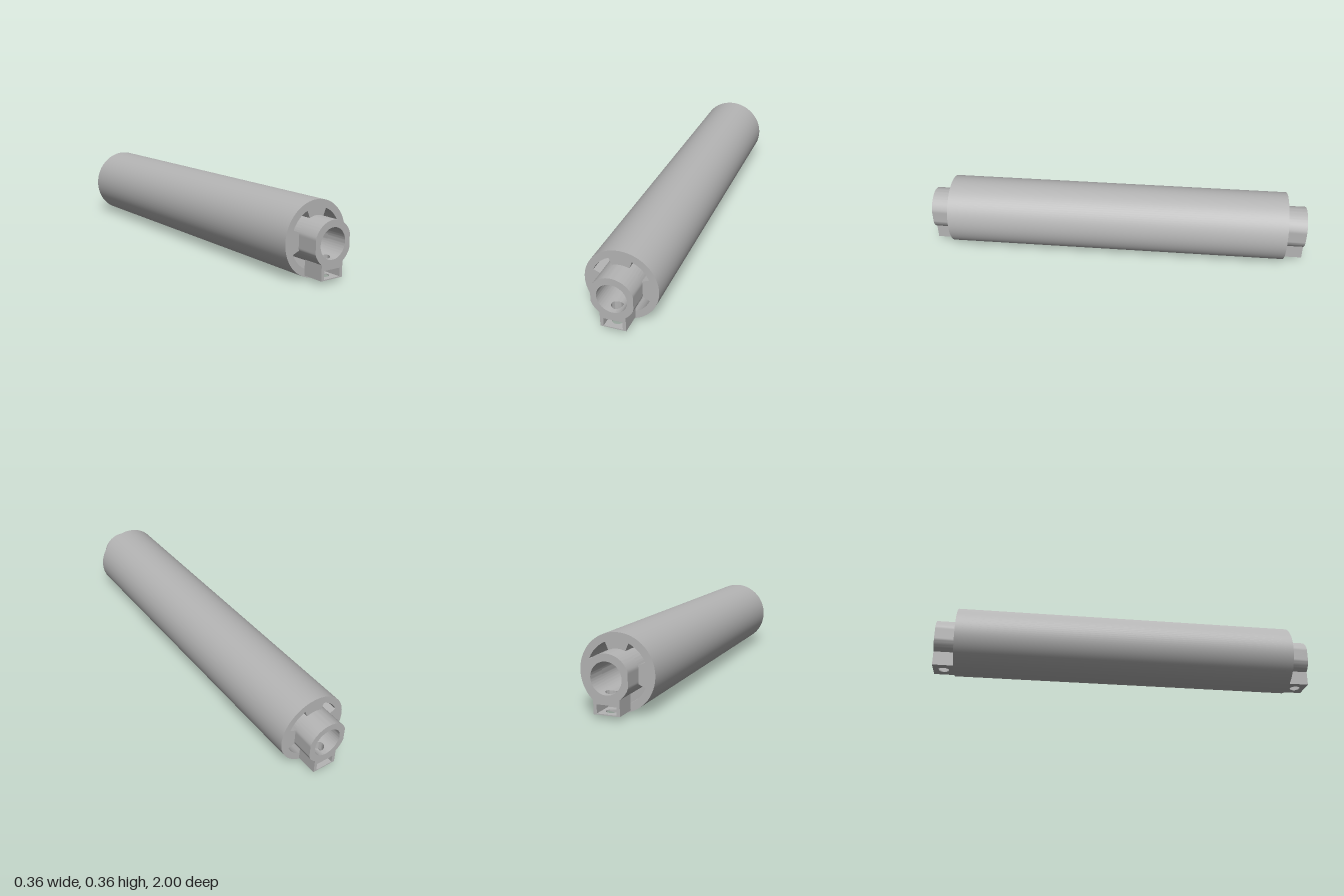
import * as THREE from 'three';
import { toCreasedNormals } from 'three/addons/utils/BufferGeometryUtils.js';

const R = 0.179, SLOT = 0.144, HUB = 0.107, BORE = 0.073; // radii about the axis
const Z0 = 0.893, Z1 = 1;                                 // neck start and end
const FLAT = 0.101;                                       // half width across hub flats
const LUG = 0.062, LUG_Y = -0.161;                        // lug half width and underside
const PX = 0.046, PY0 = -0.156, PY1 = -0.116;             // pocket
const PIN = 0.027, PZ = (Z0 + Z1) / 2;                    // pin hole

// Surface through rows of points
function loft(rows) {
  const n = rows[0].length, index = [];
  for (let j = 0; j < rows.length - 1; j++) {
    for (let i = 0; i < n - 1; i++) {
      const a = j * n + i, b = a + n;
      index.push(a, b, a + 1, b, b + 1, a + 1);
    }
  }
  const g = new THREE.BufferGeometry();
  g.setAttribute('position', new THREE.Float32BufferAttribute(rows.flat(2), 3));
  g.setIndex(index);
  return toCreasedNormals(g, 0.6);
}

// Wall that follows an xy line along the neck
const wall = (pts) => loft([Z1, Z0].map((z) => pts.map(([x, y]) => [x, y, z])));

const arc = (r, a, b, n) => Array.from({ length: n + 1 }, (_, i) => {
  const t = a + (b - a) * i / n;
  return [r * Math.sin(t), -r * Math.cos(t)]; // angle 0 points down
});

// Horizontal plate with the pin hole
function plate(halfWidth, y) {
  const s = new THREE.Shape();
  const d = (Z1 - Z0) / 2;
  s.moveTo(-halfWidth, -d).lineTo(halfWidth, -d).lineTo(halfWidth, d).lineTo(-halfWidth, d);
  s.holes.push(new THREE.Path().absarc(0, 0, PIN, 0, Math.PI * 2, true));
  return new THREE.ShapeGeometry(s, 32).rotateX(Math.PI / 2).translate(0, y, PZ);
}

export function createModel() {
  const grey = new THREE.MeshStandardMaterial({ color: 0xb4b4b4, side: THREE.DoubleSide });
  grey.name = 'grey';
  const model = new THREE.Group();
  model.name = 'roller';
  model.position.y = R;
  const add = (parent, name, geometry) => {
    const m = new THREE.Mesh(geometry, grey);
    m.name = name;
    parent.add(m);
  };

  // Long body with bore and four through slots
  const body = new THREE.Shape().absarc(0, 0, R, 0, Math.PI * 2, false);
  body.holes.push(new THREE.Path().absarc(0, 0, BORE, 0, Math.PI * 2, true));
  for (let k = 0; k < 4; k++) {
    const a = Math.PI / 8 + k * Math.PI / 2, b = a + Math.PI / 4;
    const slot = new THREE.Path();
    slot.absarc(0, 0, SLOT, a, b, false);
    slot.absarc(0, 0, HUB, b, a, true);
    slot.closePath();
    body.holes.push(slot);
  }
  const bodyGeo = new THREE.ExtrudeGeometry(body, { depth: 2 * Z0, bevelEnabled: false, curveSegments: 48 });
  add(model, 'body', toCreasedNormals(bodyGeo.translate(0, 0, -Z0), 0.6));

  // Neck outline: lug below, hub with side flats above
  const t0 = Math.asin(LUG / HUB);
  const hub = arc(HUB, t0, Math.PI * 2 - t0, 72)
    .map(([x, y]) => [THREE.MathUtils.clamp(x, -FLAT, FLAT), y]);
  const outline = [[LUG, LUG_Y], ...hub, [-LUG, LUG_Y]];
  const endShape = new THREE.Shape(outline.map((p) => new THREE.Vector2(...p)));
  endShape.holes.push(new THREE.Path().absarc(0, 0, BORE, 0, Math.PI * 2, true));
  endShape.holes.push(new THREE.Path()
    .moveTo(-PX, PY0).lineTo(-PX, PY1).lineTo(PX, PY1).lineTo(PX, PY0).closePath());

  // Bore floor patch, stretched from the round hole to a rectangle
  const PATCH = 0.6, N = 48;
  const patchRows = [];
  for (let j = 0; j <= 5; j++) {
    const row = [];
    for (let i = 0; i <= N; i++) {
      const a = i / N * Math.PI * 2, c = Math.cos(a), s = Math.sin(a);
      const m = Math.max(Math.abs(c), Math.abs(s));
      const t = THREE.MathUtils.lerp(Math.asin(PIN * c / BORE), PATCH * c / m, j / 5);
      const z = THREE.MathUtils.lerp(PIN * s, (Z1 - Z0) / 2 * s / m, j / 5);
      row.push([BORE * Math.sin(t), -BORE * Math.cos(t), PZ + z]);
    }
    patchRows.push(row);
  }
  const rim = patchRows[0];
  const rimAt = (h) => rim.map(([x, , z]) => [x, h, z]);

  const parts = {
    neckEnd: new THREE.ShapeGeometry(endShape, 48).translate(0, 0, Z1),
    neckOuter: wall(outline),
    boreWall: wall(arc(BORE, Math.PI * 2 - PATCH, PATCH, 64)),
    boreFloor: loft(patchRows),
    pinShaft: loft([rim, rimAt(PY1)]),
    pinRim: loft([rimAt(PY0), rimAt(LUG_Y)]),
    lugUnderside: plate(LUG, LUG_Y),
    pocketFloor: plate(PX, PY0),
    pocketCeiling: plate(PX, PY1),
    pocketLeft: wall([[PX, PY1], [PX, PY0]]),
    pocketRight: wall([[-PX, PY0], [-PX, PY1]]),
  };

  // Same neck at both ends
  for (const [name, turn] of [['frontNeck', 0], ['backNeck', Math.PI]]) {
    const neck = new THREE.Group();
    neck.name = name;
    neck.rotation.y = turn;
    for (const [part, geometry] of Object.entries(parts)) add(neck, part, geometry);
    model.add(neck);
  }

  const root = new THREE.Group();
  root.add(model);
  return root;
}
